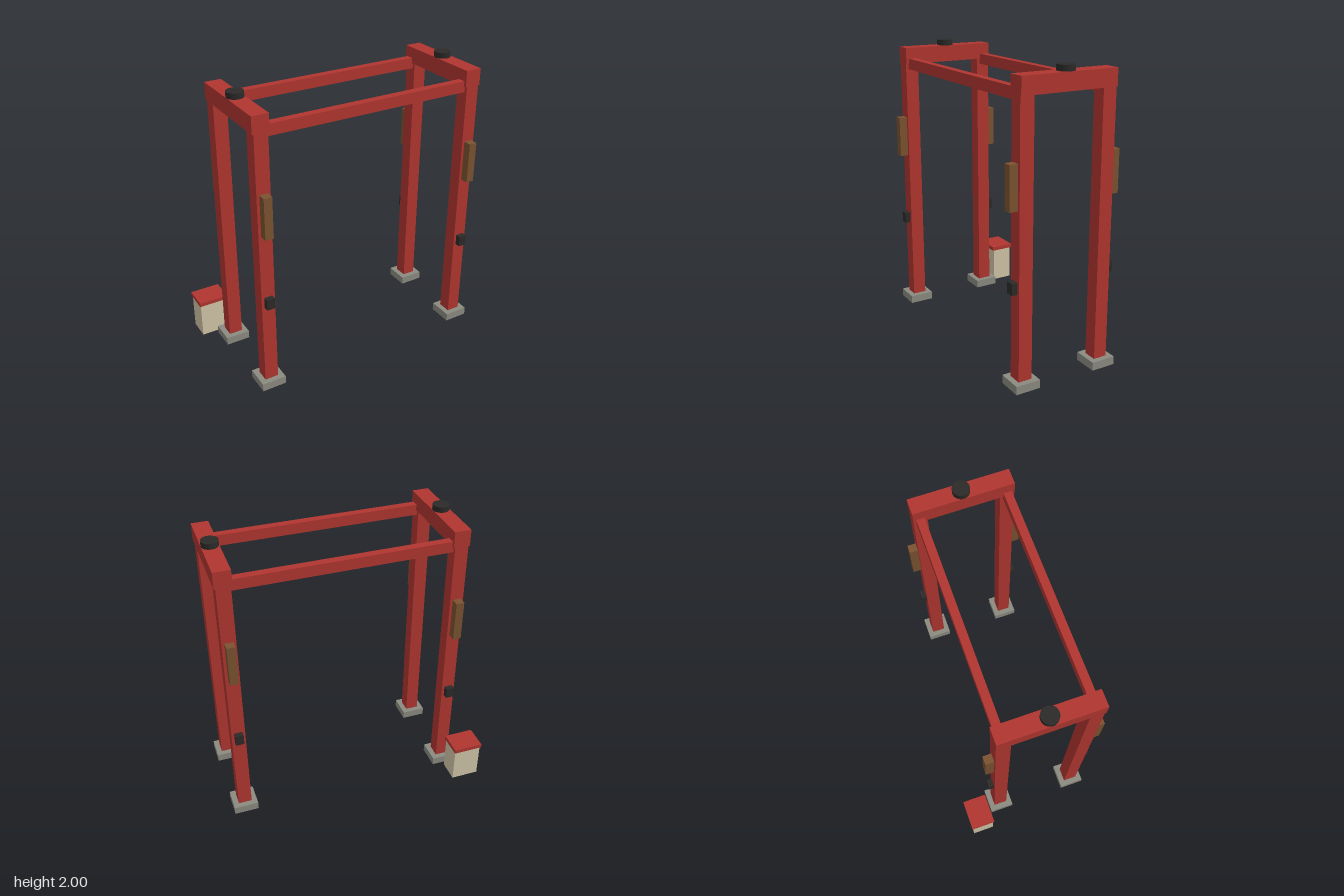
import * as THREE from 'three';

const paint = (color) => new THREE.MeshStandardMaterial({ color });

export function createModel() {
  const model = new THREE.Group();
  const red = paint(0xb0352f);
  const brown = paint(0x7a5230);
  const black = paint(0x2b2a28);
  const stone = paint(0x8a8a80);
  const cream = paint(0xcfc4a6);

  // Box given by its size, centre x/z and bottom height
  function box(name, material, [w, h, d], x, bottom, z) {
    const mesh = new THREE.Mesh(new THREE.BoxGeometry(w, h, d), material);
    mesh.name = name;
    mesh.position.set(x, bottom + h / 2, z);
    model.add(mesh);
  }

  const midX = 0.056, midZ = 0.088; // centre of the frame
  const halfX = 0.777, halfZ = 0.291; // post offsets from that centre
  const postWidth = 0.095;

  for (const sx of [-1, 1]) {
    const x = midX + sx * halfX;
    const side = sx > 0 ? 'left' : 'right';

    for (const sz of [-1, 1]) {
      const z = midZ + sz * halfZ;
      const face = z + sz * postWidth / 2; // outer face of the post
      const corner = side + (sz > 0 ? 'Front' : 'Back');

      box(corner + 'Footing', stone, [0.172, 0.057, 0.172], x, 0, z);
      box(corner + 'Post', red, [postWidth, 1.793, postWidth], x, 0.057, z);
      box(corner + 'Panel', brown, [0.057, 0.286, 0.058], x, 1.17, face + sz * 0.029);
      box(corner + 'Lamp', black, [0.057, 0.076, 0.039], x, 0.643, face + sz * 0.0195);
    }

    // Cross beam over each pair of posts, with a round cap on top
    box(side + 'Beam', red, [0.114, 0.114, 0.677], x, 1.848, midZ);
    const cap = new THREE.Mesh(new THREE.CylinderGeometry(0.057, 0.057, 0.038, 24), black);
    cap.name = side + 'Cap';
    cap.position.set(x, 1.981, midZ);
    model.add(cap);
  }

  // Long rails joining the two sides
  for (const sz of [-1, 1]) {
    box(sz > 0 ? 'frontRail' : 'backRail', red, [halfX * 2, 0.076, 0.055], midX, 1.81, midZ + sz * halfZ);
  }

  // Small cabinet behind the right back post
  box('cabinet', cream, [0.2, 0.257, 0.154], -0.815, 0, -0.395);
  box('cabinetRoof', red, [0.213, 0.029, 0.173], -0.815, 0.257, -0.395);

  return model;
}
